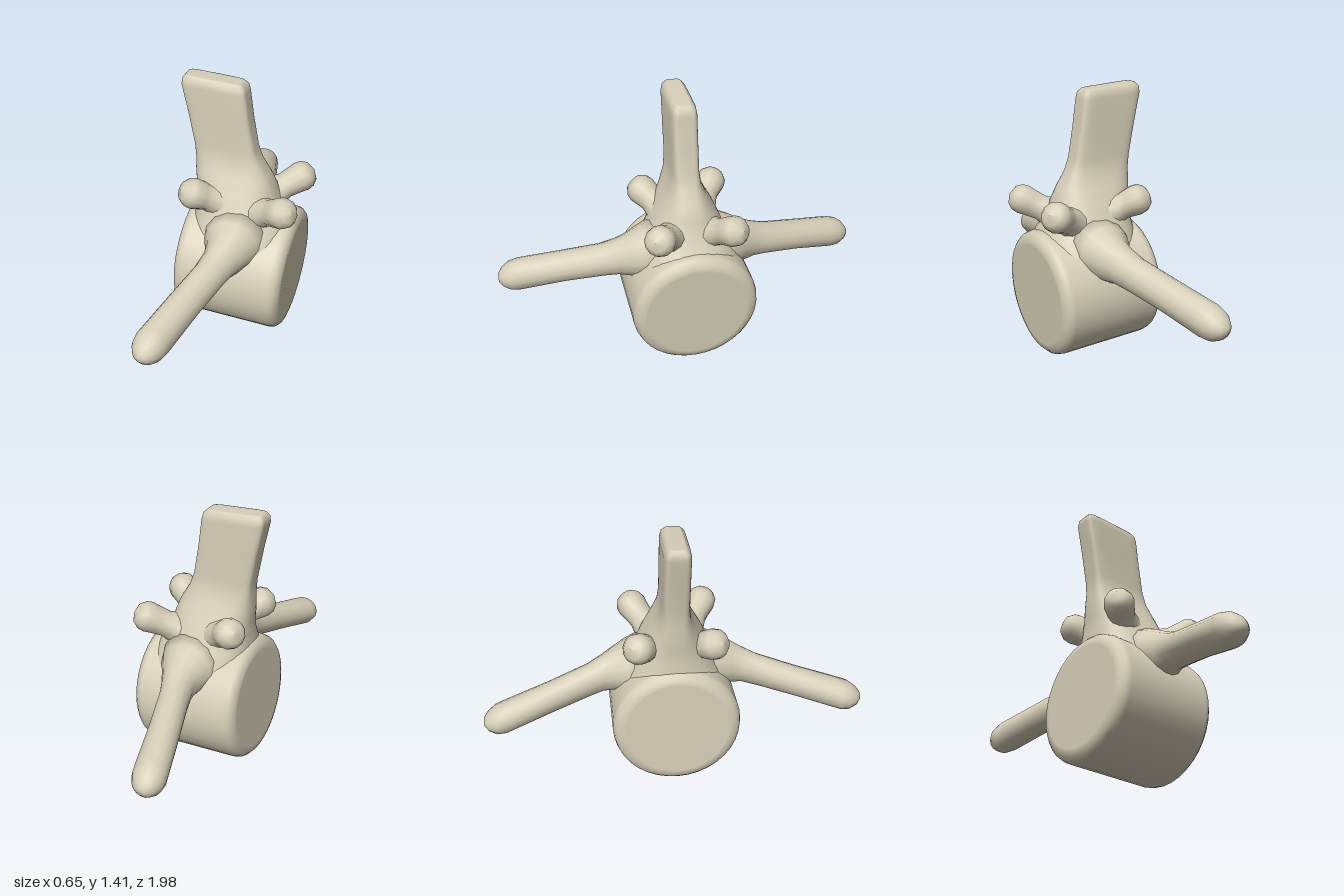
import * as THREE from 'three';

const bone = new THREE.MeshStandardMaterial({ color: 0xd6ceb8 });
bone.name = 'bone';

// Closed skin over rings [t, centreA, centreB, radiusA, radiusB, squareness]; place maps (a, b, t) to xyz
function loft(rings, sides, place, flip) {
  const pos = [], index = [];
  const tri = (a, b, c) => (flip ? index.push(a, c, b) : index.push(a, b, c));
  const root = (v, n) => Math.sign(v) * Math.abs(v) ** (2 / n);
  for (const [t, a, b, ra, rb, n = 2] of rings) {
    for (let i = 0; i < sides; i++) {
      const q = (i / sides) * Math.PI * 2;
      pos.push(...place(a + ra * root(Math.cos(q), n), b + rb * root(Math.sin(q), n), t));
    }
  }
  for (let r = 0; r < rings.length - 1; r++) {
    for (let i = 0; i < sides; i++) {
      const j = (i + 1) % sides, p = r * sides, q = p + sides;
      tri(p + i, p + j, q + j);
      tri(p + i, q + j, q + i);
    }
  }
  // End caps
  for (const r of [0, rings.length - 1]) {
    const [t, a, b] = rings[r], c = pos.length / 3;
    pos.push(...place(a, b, t));
    for (let i = 0; i < sides; i++) {
      const p = r * sides + i, q = r * sides + (i + 1) % sides;
      r === 0 ? tri(c, q, p) : tri(c, p, q);
    }
  }
  const g = new THREE.BufferGeometry();
  g.setAttribute('position', new THREE.Float32BufferAttribute(pos, 3));
  g.setIndex(index);
  g.computeVertexNormals();
  return g;
}

export function createModel() {
  const model = new THREE.Group();
  model.name = 'vertebra';
  const add = (name, geometry) => {
    const mesh = new THREE.Mesh(geometry, bone);
    mesh.name = name;
    model.add(mesh);
    return mesh;
  };
  const profile = (pts) => pts.map(([x, y]) => new THREE.Vector2(x, y));

  // Drum-shaped body with softened rims, lying slightly tilted along x
  const half = [[0.335, 0], [0.335, 0.235], [0.328, 0.262], [0.308, 0.282], [0.28, 0.29], [0.27, 0.29], [0, 0.29]];
  const drum = [...half.slice(1).reverse().map(([r, y]) => [r, -y]), ...half];
  const body = add('body', new THREE.LatheGeometry(profile(drum), 36));
  body.rotation.z = -Math.PI / 2 - 0.056;
  body.position.set(-0.016, 0.352, 0);

  // Arch rising from the body and flattening into the spinous blade, with a sloped top
  const archRings = [
    [0.40, 0, 0, 0.25, 0.31, 2.6],
    [0.52, 0, 0, 0.26, 0.295, 2.6],
    [0.60, 0, 0, 0.262, 0.255, 2.6],
    [0.66, -0.015, 0, 0.25, 0.225, 2.5],
    [0.74, -0.035, 0, 0.215, 0.19, 2.4],
    [0.82, -0.045, 0, 0.21, 0.155, 2.4],
    [0.90, -0.065, 0, 0.195, 0.11, 2.8],
    [0.97, -0.085, 0, 0.172, 0.08, 3.6],
    [1.04, -0.1, 0, 0.16, 0.069, 5],
    [1.2, -0.127, 0, 0.16, 0.067, 6],
    [1.35, -0.152, 0, 0.167, 0.066, 6],
    [1.382, -0.154, 0, 0.162, 0.06, 6],
    [1.4, -0.156, 0, 0.145, 0.045, 6],
    [1.401, -0.156, 0, 0.135, 0.036, 6],
  ];
  // Slope fades in towards the top
  const tilt = (x, t) => t - 0.06 * (x + 0.15) * Math.max(0, (t - 1) / 0.4);
  add('archAndSpinousProcess', loft(archRings, 40, (x, z, t) => [x, tilt(x, t), z], true));

  // Side arms, flared at the root and blunt at the tip
  const armRings = [
    [0.14, 0.0, 0.6, 0.19, 0.17],
    [0.24, 0.0, 0.59, 0.145, 0.14],
    [0.31, -0.005, 0.575, 0.108, 0.118],
    [0.37, -0.02, 0.56, 0.09, 0.1],
    [0.45, -0.045, 0.535, 0.082, 0.09],
    [0.65, -0.105, 0.487, 0.084, 0.084],
    [0.88, -0.168, 0.43, 0.088, 0.086],
    [0.93, -0.175, 0.421, 0.08, 0.078],
    [0.97, -0.178, 0.415, 0.056, 0.052],
    [0.992, -0.178, 0.412, 0.025, 0.022],
  ];
  for (const s of [1, -1]) {
    add(s > 0 ? 'frontTransverseProcess' : 'backTransverseProcess',
      loft(armRings, 14, (x, y, t) => [x, y, s * t], s < 0));
  }

  // Four articular knobs on flared stalks
  const knob = (len) => new THREE.LatheGeometry(profile([
    [0.11, 0], [0.085, len * 0.3], [0.068, len * 0.6], [0.074, len - 0.04], [0.08, len],
    [0.074, len + 0.035], [0.05, len + 0.064], [0, len + 0.078],
  ]), 12);
  const up = new THREE.Vector3(0, 1, 0);
  for (const s of [1, -1]) {
    const ends = [
      ['rightKnob', new THREE.Vector3(-0.08, 0.74, 0.08 * s), new THREE.Vector3(-0.215, 0.828, 0.187 * s)],
      ['leftKnob', new THREE.Vector3(0.06, 0.7, 0.07 * s), new THREE.Vector3(0.248, 0.803, 0.187 * s)],
    ];
    for (const [name, from, to] of ends) {
      const dir = to.clone().sub(from);
      const mesh = add((s > 0 ? 'front_' : 'back_') + name, knob(dir.length()));
      mesh.position.copy(from);
      mesh.quaternion.setFromUnitVectors(up, dir.normalize());
    }
  }
  return model;
}
